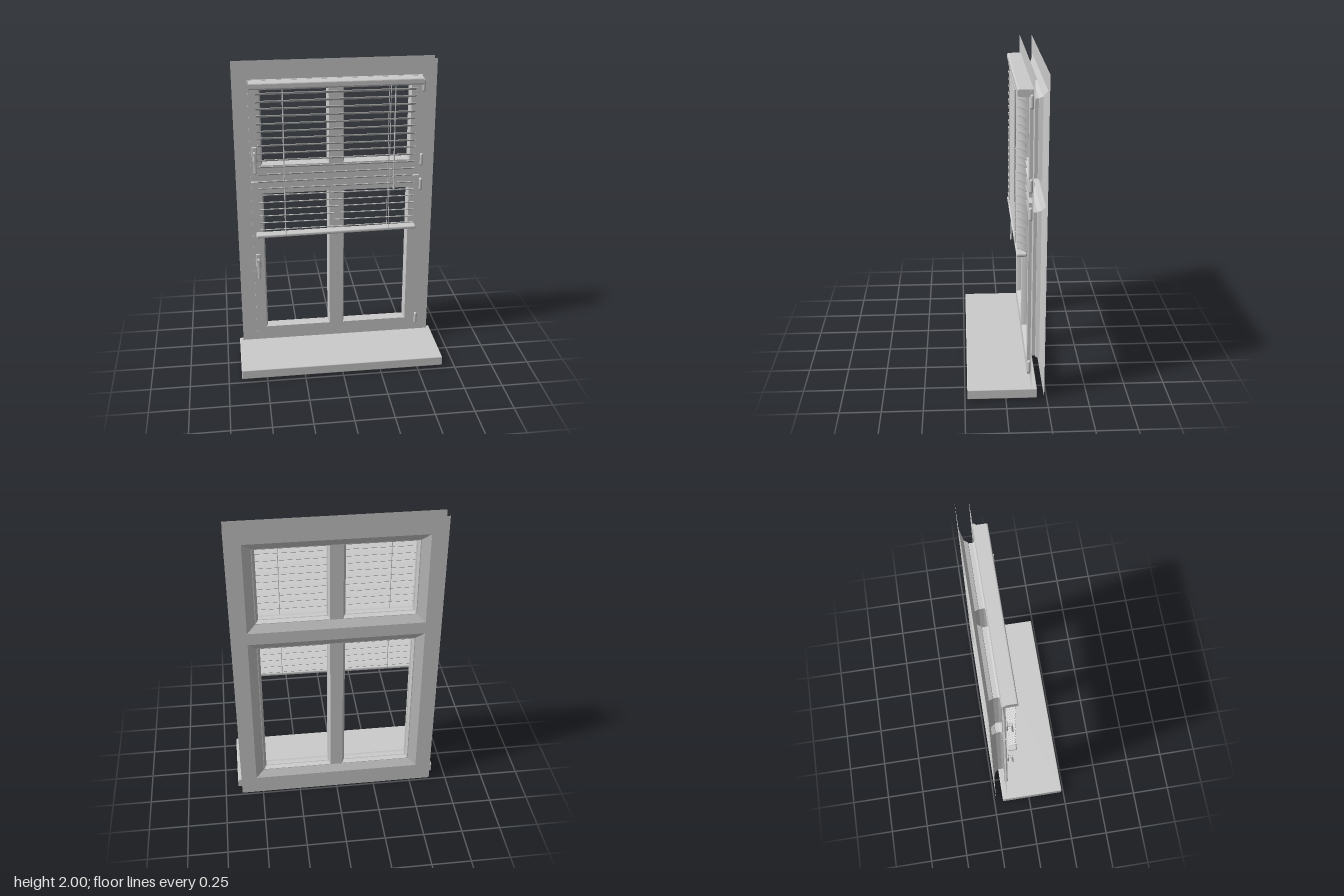
import * as THREE from 'three';
import { RoundedBoxGeometry } from 'three/addons/geometries/RoundedBoxGeometry.js';

const grey = new THREE.MeshStandardMaterial({ color: 0xcccccc });
const thin = new THREE.MeshStandardMaterial({ color: 0xcccccc, side: THREE.DoubleSide });

function add(parent, name, geometry, x = 0, y = 0, z = 0, material = grey) {
  const mesh = new THREE.Mesh(geometry, material);
  mesh.name = name;
  mesh.position.set(x, y, z);
  parent.add(mesh);
  return mesh;
}

// Rectangles are [x0, y0, x1, y1]
const corners = ([a, b, c, d]) => [[a, b], [c, b], [c, d], [a, d]];
const grow = ([a, b, c, d], g) => [a - g, b - g, c + g, d + g];

// Flat sheet with rectangular openings
function sheet(outer, holes) {
  const points = (r) => corners(r).map((p) => new THREE.Vector2(...p));
  const shape = new THREE.Shape(points(outer));
  for (const h of holes) shape.holes.push(new THREE.Path(points(h)));
  return new THREE.ShapeGeometry(shape);
}

// Walls joining a series of rectangles at different depths: [rect, z]
function rectLoft(rings) {
  const pos = [];
  for (let i = 0; i + 1 < rings.length; i++) {
    const [A, B] = [rings[i], rings[i + 1]].map(([r, z]) => corners(r).map((p) => [...p, z]));
    for (let k = 0; k < 4; k++) {
      const n = (k + 1) % 4;
      pos.push(...A[k], ...A[n], ...B[n], ...A[k], ...B[n], ...B[k]);
    }
  }
  const g = new THREE.BufferGeometry();
  g.setAttribute('position', new THREE.Float32BufferAttribute(pos, 3));
  g.computeVertexNormals();
  return g;
}

const FRONT = -0.135, WALL = -0.155, STEP = -0.215, BACK = -0.235;

// One sash with two panes, its front moulding and splayed back recess
function makeSash(name, y0, y1, paneY0, paneY1) {
  const g = new THREE.Group();
  g.name = name;
  const outer = [-0.545, y0, 0.545, y1];
  const panes = [[-0.468, paneY0, -0.055, paneY1], [0.055, paneY0, 0.468, paneY1]];
  const splay = [-0.488, paneY0 - 0.018, 0.488, paneY1 + 0.018];
  add(g, 'sashFace', sheet(outer, panes.map((p) => grow(p, 0.01))), 0, 0, FRONT, thin);
  add(g, 'sashEdge', rectLoft([[outer, WALL - 0.003], [outer, FRONT]]), 0, 0, 0, thin);
  for (const p of panes) {
    add(g, 'paneReveal', rectLoft([
      [grow(p, 0.01), FRONT], [grow(p, 0.003), -0.152], [p, -0.165],
      [p, -0.19], [grow(p, 0.004), -0.192], [grow(p, 0.015), STEP],
    ]), 0, 0, 0, thin);
  }
  add(g, 'backMoulding', sheet(splay, panes.map((p) => grow(p, 0.015))), 0, 0, STEP, thin);
  add(g, 'backSplay', rectLoft([[splay, STEP], [backOpening(paneY0, paneY1), BACK]]), 0, 0, 0, thin);
  return g;
}
const backOpening = (p0, p1) => [-0.54, p0 - 0.07, 0.54, p1 + 0.06];

// Window handle: plate, neck and hanging lever
function makeHandle(name, y) {
  const g = new THREE.Group();
  g.name = name;
  g.position.set(-0.517, y, FRONT);
  add(g, 'handlePlate', new RoundedBoxGeometry(0.034, 0.1, 0.014, 2, 0.006), 0, 0, 0.006);
  const neck = add(g, 'handleNeck', new THREE.CylinderGeometry(0.009, 0.009, 0.036, 16), 0, 0.012, 0.024);
  neck.rotation.x = Math.PI / 2;
  const lever = add(g, 'handleLever', new RoundedBoxGeometry(0.019, 0.14, 0.012, 3, 0.006), 0, -0.047, 0.038);
  lever.rotation.x = -0.04;
  return g;
}

function makeBlind() {
  const g = new THREE.Group();
  g.name = 'blind';
  // Head rail with a rounded front
  const profile = new THREE.Shape();
  profile.moveTo(-0.14, 1.856);
  profile.lineTo(-0.078, 1.856);
  profile.quadraticCurveTo(-0.066, 1.857, -0.066, 1.868);
  profile.lineTo(-0.066, 1.89);
  profile.quadraticCurveTo(-0.067, 1.899, -0.076, 1.899);
  profile.lineTo(-0.14, 1.899);
  const rail = new THREE.ExtrudeGeometry(profile, { depth: 1.08, bevelEnabled: false, curveSegments: 6 });
  rail.rotateY(-Math.PI / 2).scale(1, 1, 1);
  rail.translate(0.54, 0, 0);
  add(g, 'headRail', rail);

  // Tilted, gently bowed slats with the front edge raised
  const count = 20;
  for (let i = 0; i < count; i++) {
    const slat = new THREE.BoxGeometry(1, 0.003, 0.06, 1, 1, 4);
    const p = slat.attributes.position;
    for (let k = 0; k < p.count; k++) {
      const t = p.getZ(k) / 0.03;
      p.setY(k, p.getY(k) + 0.003 * (1 - t * t));
    }
    slat.computeVertexNormals();
    const m = add(g, 'slat', slat, 0, 1.824 - i * 0.0474, -0.098);
    m.rotation.set(-0.45, 0, 0.004 * Math.sin(i * 1.7));
  }

  // Bottom rail, slightly out of level
  const bottom = add(g, 'bottomRail', new RoundedBoxGeometry(1.045, 0.022, 0.062, 3, 0.008), -0.003, 0.893, -0.098);
  bottom.rotation.z = 0.012;

  // Ladder cords in front of and behind the slats
  for (const x of [-0.335, 0.335]) {
    for (const z of [-0.069, -0.127]) {
      add(g, 'ladderCord', new THREE.CylinderGeometry(0.0025, 0.0025, 0.97, 6), x, 1.375, z);
    }
  }
  // Pull cord and tassel
  add(g, 'pullCord', new THREE.CylinderGeometry(0.004, 0.004, 0.64, 8), 0.362, 1.535, -0.062);
  add(g, 'cordTassel', new THREE.CylinderGeometry(0.005, 0.008, 0.035, 10), 0.364, 1.2, -0.062);
  return g;
}

export function createModel() {
  const model = new THREE.Group();
  model.name = 'window';

  // Open front and back faces of the outer frame
  const outer = [-0.64, 0, 0.64, 2];
  add(model, 'frameFront', sheet(outer, [[-0.545, 0.11, 0.545, 1.238], [-0.545, 1.27, 0.545, 1.9]]), 0, 0, WALL, thin);
  add(model, 'frameBack', sheet(outer, [backOpening(0.195, 1.15), backOpening(1.36, 1.83)]), 0, 0, BACK, thin);

  model.add(makeSash('lowerSash', 0.11, 1.238, 0.195, 1.15));
  model.add(makeSash('upperSash', 1.27, 1.9, 1.36, 1.83));

  model.add(makeHandle('lowerHandle', 0.688));
  model.add(makeHandle('upperHandle', 1.427));

  // Hinge barrels
  for (const y of [0.173, 1.173, 1.343, 1.833]) {
    add(model, 'hinge', new THREE.CapsuleGeometry(0.012, 0.06, 4, 14), 0.557, y, -0.146);
  }

  model.add(makeBlind());

  // Interior sill
  add(model, 'sill', new RoundedBoxGeometry(1.33, 0.064, 0.424, 2, 0.006), 0, 0.047, 0.023);
  return model;
}
